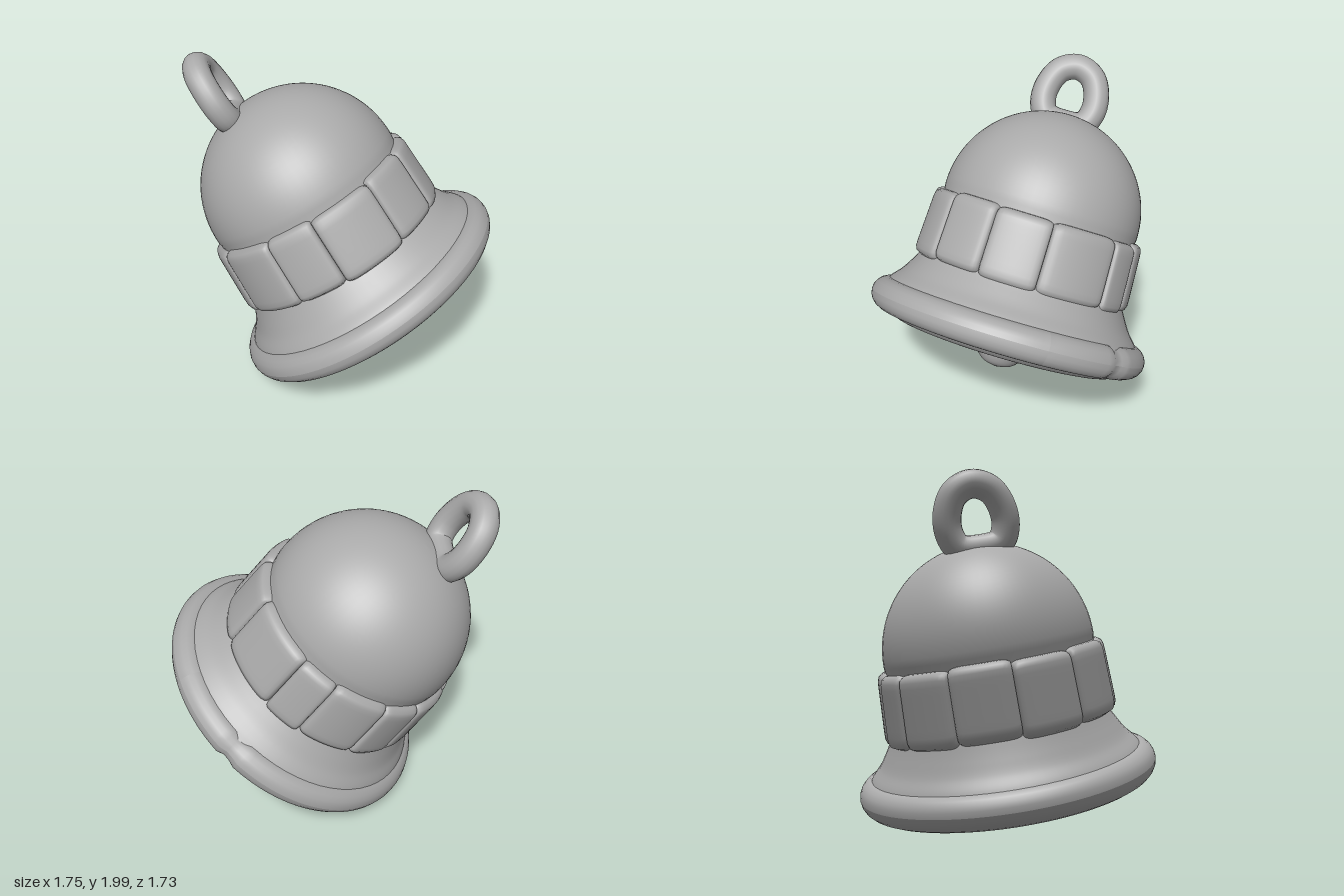
import * as THREE from 'three';

const V = (x, y, z) => new THREE.Vector3(x, y, z);

// Smooth lathe from a few [radius, height] points
function turned(points, samples, sides) {
  const curve = new THREE.SplineCurve(points.map(([r, y]) => new THREE.Vector2(r, y)));
  const profile = curve.getPoints(samples);
  profile.forEach(p => { p.x = Math.max(p.x, 0); });
  return new THREE.LatheGeometry(profile, sides);
}

// Pillow-shaped block wrapped round the bell between two angles (degrees)
function bandBlock(from, to, low, high) {
  const geo = new THREE.PlaneGeometry(2, 2, 16, 14);
  const pos = geo.attributes.position;
  const mid = THREE.MathUtils.degToRad((from + to) / 2);
  const half = THREE.MathUtils.degToRad((to - from) / 2);
  const swell = t => Math.sqrt(Math.max(0, 1 - Math.abs(t) ** 14));
  for (let i = 0; i < pos.count; i++) {
    const u = Math.sin(pos.getX(i) * Math.PI / 2);
    const v = Math.sin(pos.getY(i) * Math.PI / 2);
    const angle = mid - u * half;
    const r = 0.6 + (0.083 - 0.012 * v) * swell(v) * (0.55 + 0.45 * swell(u));
    const trim = 1 - 0.08 * u ** 8;
    pos.setXYZ(i, r * Math.cos(angle), (low + high) / 2 + v * trim * (high - low) / 2, r * Math.sin(angle));
  }
  geo.computeVertexNormals();
  return geo;
}

export function createModel() {
  const metal = new THREE.MeshStandardMaterial({ color: 0xaaaaaa });
  metal.name = 'grey metal';
  const model = new THREE.Group();
  model.name = 'bell';

  // Tilted frame: local y is the bell axis, origin at the rim centre
  const bell = new THREE.Group();
  bell.name = 'tiltedBell';
  const axis = V(-0.447, 0.82, -0.362).normalize();
  const side = axis.clone().cross(V(-0.08, 0.37, 0.92)).normalize();
  const across = side.clone().cross(axis);
  bell.quaternion.setFromRotationMatrix(new THREE.Matrix4().makeBasis(side, axis, across));
  bell.position.set(0.075, 0.55, 0.028);
  model.add(bell);

  const add = (name, geo, parent = bell) => {
    const mesh = new THREE.Mesh(geo, metal);
    mesh.name = name;
    parent.add(mesh);
    return mesh;
  };

  // Shallow mouth, broad lip and flared skirt
  add('mouthAndSkirt', turned([
    [0, 0], [0.25, 0.005], [0.48, 0], [0.57, -0.03], [0.59, -0.09], [0.63, -0.125], [0.71, -0.125],
    [0.8, -0.065], [0.84, 0.02], [0.8, 0.1], [0.74, 0.17], [0.695, 0.24], [0.655, 0.31],
    [0.62, 0.38], [0.6, 0.45],
  ], 100, 64));

  // Upper bell, leaning slightly less than the rim
  const upper = new THREE.Group();
  upper.name = 'upperBell';
  upper.position.set(-0.015, 0, 0.008);
  upper.rotation.z = -0.045;
  bell.add(upper);

  // Domed body
  const dome = [new THREE.Vector2(0.6, 0.36), new THREE.Vector2(0.61, 0.6)];
  for (let i = 0; i <= 24; i++) {
    const t = i / 24 * Math.PI / 2;
    dome.push(new THREE.Vector2(0.625 * Math.cos(t), 0.755 + 0.622 * Math.sin(t)));
  }
  add('dome', new THREE.LatheGeometry(dome, 64), upper);

  // Rolled rim with a pinched seam
  const R = 0.787;
  const rim = new THREE.TorusGeometry(R, 0.1, 20, 120);
  rim.rotateX(Math.PI / 2);
  const pos = rim.attributes.position;
  for (let i = 0; i < pos.count; i++) {
    const angle = Math.atan2(pos.getZ(i), pos.getX(i));
    const pinch = 1 - 0.35 * Math.exp(-(((angle + 0.6) / 0.03) ** 2));
    const cx = R * Math.cos(angle), cz = R * Math.sin(angle);
    pos.setXYZ(i, cx + (pos.getX(i) - cx) * pinch, pos.getY(i) * pinch, cz + (pos.getZ(i) - cz) * pinch);
  }
  rim.computeVertexNormals();
  add('rim', rim);

  // Band of uneven blocks
  const band = new THREE.Group();
  band.name = 'blockBand';
  upper.add(band);
  const seams = [8, 38, 67, 102, 128, 164, 196, 227, 257, 280, 310, 330, 368];
  for (let i = 0; i < seams.length - 1; i++) {
    const shift = 0.008 * Math.sin(i * 2.3);
    add('bandBlock', bandBlock(seams[i], seams[i + 1], 0.288 + shift, 0.722 + shift), band);
  }

  // Closed hanging loop on top, turned a little about the axis
  const oval = [
    [0, 1.34], [-0.12, 1.36], [-0.165, 1.45], [-0.155, 1.57], [-0.1, 1.665], [0, 1.705],
    [0.1, 1.665], [0.155, 1.57], [0.165, 1.45], [0.12, 1.36],
  ];
  const loop = new THREE.CatmullRomCurve3(oval.map(([t, y]) => V(-0.09 - 0.3 * t, y, 0.95 * t)), true);
  add('hangingLoop', new THREE.TubeGeometry(loop, 64, 0.082, 16, true));

  // Egg-shaped clapper with two small nubs
  const clapper = add('clapper', turned([
    [0, -0.18], [0.1, -0.15], [0.175, -0.06], [0.19, 0.03], [0.185, 0.12],
  ], 30, 28));
  const centre = V(-0.05, -0.1, -0.01);
  clapper.position.copy(centre);
  for (const tip of [V(-0.2, -0.2, -0.125), V(-0.25, -0.19, 0.07)]) {
    const start = centre.clone().lerp(tip, 0.5);
    add('clapperNub', new THREE.TubeGeometry(new THREE.LineCurve3(start, tip), 2, 0.02, 8));
    const cap = add('clapperNubTip', new THREE.SphereGeometry(0.024, 10, 8));
    cap.position.copy(tip);
  }

  return model;
}
